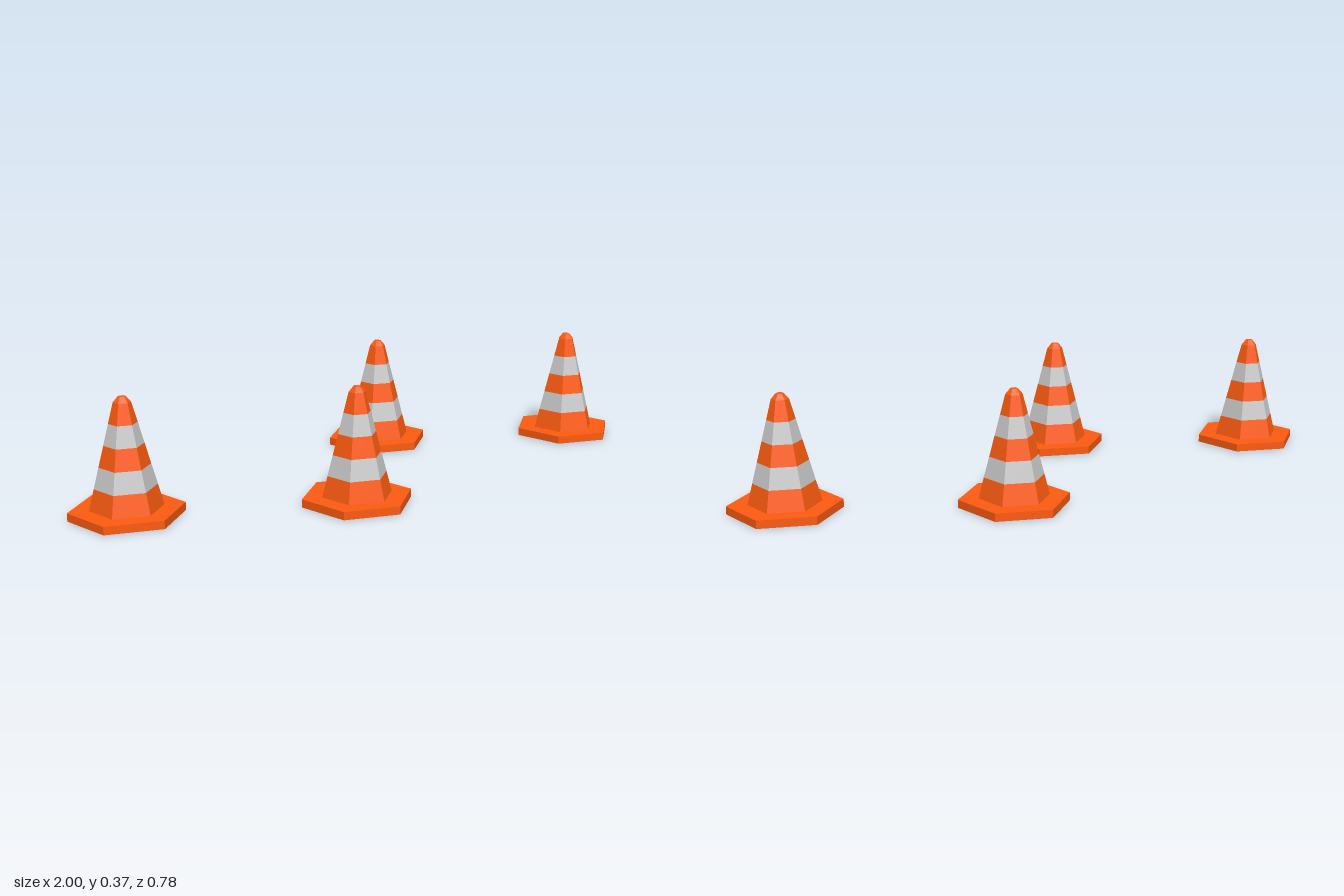
import * as THREE from 'three';

const SIDES = 6;
const BASE_TOP = 0.026, SHOULDER = 0.355, TIP = 0.372;
const BASE_R = 0.178, FOOT_R = 0.1135, SHOULDER_R = 0.027, TIP_R = 0.0125;

const orange = new THREE.MeshStandardMaterial({ color: 0xff5c10, flatShading: true });
const grey = new THREE.MeshStandardMaterial({ color: 0xcccccc, flatShading: true });

// Six-sided tapered section between two heights
function section(name, y0, y1, r0, r1, material, open) {
  const geometry = new THREE.CylinderGeometry(r1, r0, y1 - y0, SIDES, 1, open);
  geometry.translate(0, (y0 + y1) / 2, 0);
  const mesh = new THREE.Mesh(geometry, material);
  mesh.name = name;
  return mesh;
}

// Radius of the sloping body at a given height
const bodyRadius = (y) =>
  THREE.MathUtils.mapLinear(y, BASE_TOP, SHOULDER, FOOT_R, SHOULDER_R);

function trafficCone() {
  const cone = new THREE.Group();
  cone.add(section('base', 0, BASE_TOP, BASE_R, BASE_R, orange, false));

  // Alternating orange and reflective bands
  const levels = [BASE_TOP, 0.093, 0.159, 0.225, 0.291, SHOULDER];
  for (let i = 0; i < levels.length - 1; i++) {
    const [y0, y1] = [levels[i], levels[i + 1]];
    const reflective = i % 2 === 1;
    cone.add(section(reflective ? 'reflectiveBand' : 'orangeBand', y0, y1,
      bodyRadius(y0), bodyRadius(y1), reflective ? grey : orange, true));
  }

  // Bevelled tip
  cone.add(section('tip', SHOULDER, TIP, SHOULDER_R, TIP_R, orange, false));
  return cone;
}

export function createModel() {
  const model = new THREE.Group();
  model.name = 'trafficCones';

  // Four cones in a zigzag row
  for (let i = 0; i < 4; i++) {
    const cone = trafficCone();
    cone.name = `cone${i + 1}`;
    cone.position.set(-0.846 + i * 0.564, 0, i % 2 ? 0.212 : -0.212);
    model.add(cone);
  }
  return model;
}
